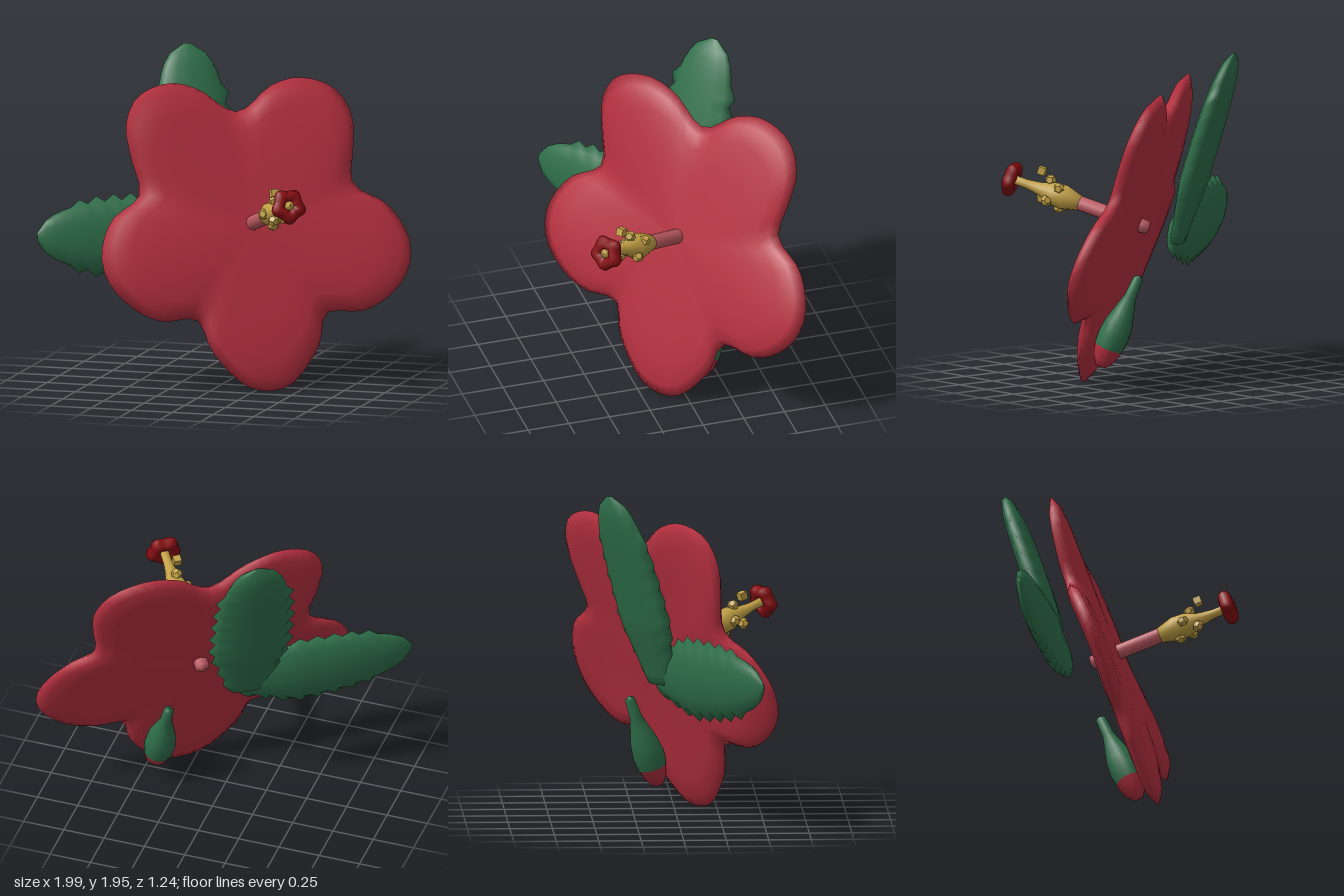
import * as THREE from 'three';
import { mergeVertices } from 'three/addons/utils/BufferGeometryUtils.js';

const V = (x, y, z) => new THREE.Vector3(x, y, z);
const mat = (color) => new THREE.MeshStandardMaterial({ color });
const RED = mat(0xb5303f), GREEN = mat(0x2f6f4a), YELLOW = mat(0xc2a044);
const DARK_RED = mat(0x850c10), PINK = mat(0xbd5a62);

function part(name, geometry, material) {
  const m = new THREE.Mesh(geometry, material);
  m.name = name;
  return m;
}

// Move every vertex by a rule, then weld seams for smooth normals
function deform(geometry, rule) {
  geometry.deleteAttribute('uv');
  geometry.deleteAttribute('normal');
  const p = geometry.attributes.position, v = V(0, 0, 0);
  for (let i = 0; i < p.count; i++) {
    rule(v.fromBufferAttribute(p, i));
    p.setXYZ(i, v.x, v.y, v.z);
  }
  const g = mergeVertices(geometry, 1e-4);
  g.computeVertexNormals();
  return g;
}

const lathe = (pts, n) => new THREE.LatheGeometry(pts.map(([r, y]) => new THREE.Vector2(r, y)), n);

// Place an object so its y axis runs along "axis" and its x axis along "side"
function orient(obj, origin, axis, side) {
  const y = axis.clone().normalize();
  const z = side.clone().cross(y).normalize();
  const x = y.clone().cross(z);
  obj.quaternion.setFromRotationMatrix(new THREE.Matrix4().makeBasis(x, y, z));
  obj.position.copy(origin);
  return obj;
}

// Five joined petals: a thin disc whose rim follows a mirrored outline
function corolla() {
  const half = [[0.14, -0.935], [0.33, -0.72], [0.4, -0.53], [0.62, -0.53], [0.78, -0.46],
    [0.92, -0.31], [0.955, -0.13], [0.855, 0.087], [0.66, 0.23], [0.69, 0.45], [0.705, 0.64],
    [0.62, 0.8], [0.415, 0.875], [0.23, 0.835]];
  const outline = new THREE.CatmullRomCurve3([[0.01, -0.97], ...half, [0, 0.69],
    ...half.map(([u, v]) => [-u, v]).reverse()].map(([u, v]) => V(u, 0, -v)), true);
  const profile = [[0, -0.07], [0.2, -0.07], [0.4, -0.06], [0.6, -0.055], [0.8, -0.05], [0.93, -0.035],
    [1, 0], [0.93, 0.035], [0.8, 0.05], [0.6, 0.055], [0.4, 0.055], [0.2, 0.055], [0, 0.055]];
  // How far each petal leans forward, from the bottom one round
  const lean = [-0.05, 0, -0.045, 0.025, 0.025];
  return deform(lathe(profile, 90), (v) => {
    const s = Math.hypot(v.x, v.z);
    const f = (Math.atan2(v.x, v.z) / (Math.PI * 2) + 1) % 1;
    const rim = outline.getPointAt(f);
    // Petal middles rise softly, the valleys between them sink
    const ridge = Math.cos(f * Math.PI * 10);
    v.y += s * s * (0.015 * ridge + lean[Math.round(f * 5) % 5] * (0.5 + 0.5 * ridge));
    v.x = (rim.x + 0.03 * rim.z) * s + 0.02;
    v.z = rim.z * s;
  });
}

// Small five-lobed ring at the tip of the column
function stigma() {
  const g = new THREE.TorusGeometry(0.06, 0.04, 8, 30);
  g.rotateX(-Math.PI / 2);
  return deform(g, (v) => {
    const k = 1 + 0.1 * Math.cos(5 * Math.atan2(v.x, v.z));
    v.x *= k;
    v.z *= k;
  });
}

// Thick leaf with a toothed margin and a blunt smooth tip
function leaf(length, halfWidth, taper) {
  const rows = 20;
  const g = new THREE.CylinderGeometry(1, 1, length, 12, rows);
  return deform(g, (v) => {
    const t = v.y / length + 0.5;
    const body = Math.min(1, 0.5 + 1.6 * t) * Math.sqrt(Math.max(0.01, 1 - Math.pow(t, taper)));
    const tooth = t < 0.82 && Math.abs(v.x) > 0.95 && Math.round(t * rows) % 2 ? 1.18 : 1;
    v.x *= halfWidth * body * tooth;
    v.z = v.z * 0.07 * body + 0.05 * (t - 0.5) * (t - 0.5);
    v.y += length / 2;
  });
}

export function createModel() {
  const model = new THREE.Group();
  model.name = 'flower';

  // Blossom: local y points out of its face, local -z points up
  const blossom = new THREE.Group();
  blossom.name = 'blossom';
  orient(blossom, V(0.15, 0.92, -0.04), V(0.547, 0.3, 0.783), V(0.82, 0, -0.573));
  model.add(blossom);
  blossom.add(part('petals', corolla(), RED));

  // Central column running through the petals
  const pistil = new THREE.Group();
  pistil.name = 'pistil';
  pistil.position.set(0.015, 0, -0.02);
  blossom.add(pistil);
  pistil.add(part('column', lathe([[0, -0.125], [0.04, -0.115], [0.045, -0.06], [0.045, 0.34], [0, 0.36]], 10), PINK));
  pistil.add(part('pollenColumn', lathe([[0, 0.31], [0.046, 0.32], [0.075, 0.42], [0.07, 0.49],
    [0.04, 0.57], [0.027, 0.66], [0.027, 0.78], [0, 0.79]], 10), YELLOW));
  const ring = part('stigma', stigma(), DARK_RED);
  ring.position.y = 0.755;
  pistil.add(ring);

  // Anthers: lumps half sunk in the column, and one standing free
  for (let i = 0; i < 6; i++) {
    const a = i * 2.4;
    const anther = part('anther', new THREE.DodecahedronGeometry(0.034), YELLOW);
    anther.position.set(0.068 * Math.sin(a), 0.43 + 0.025 * i, 0.068 * Math.cos(a));
    anther.rotation.set(a, i, 0);
    pistil.add(anther);
  }
  const loose = part('anther', new THREE.BoxGeometry(0.045, 0.045, 0.045), YELLOW);
  loose.position.set(-0.03, 0.6, -0.1);
  pistil.add(loose);

  // Two leaves behind the petals
  const leaves = [
    ['upperLeaf', V(-0.16, 0.8, -0.09), V(-0.335, 1.935, -0.4), V(-0.82, 0, 0.57), 6],
    ['sideLeaf', V(-0.13, 0.84, -0.12), V(-1, 0.89, 0.46), V(-0.08, 1, -0.12), 4],
  ];
  for (const [name, base, tip, side, taper] of leaves) {
    const axis = tip.clone().sub(base);
    model.add(orient(part(name, leaf(axis.length(), 0.222, taper), GREEN), base, axis, side));
  }

  // Hanging bud: green calyx with a red tip
  const bud = new THREE.Group();
  bud.name = 'bud';
  const top = V(0.26, 0.66, -0.27), end = V(0.41, 0.1, -0.085);
  orient(bud, end, top.clone().sub(end), V(1, 0, 0));
  bud.add(part('budTip', lathe([[0, 0], [0.035, 0.01], [0.067, 0.06], [0.086, 0.13]], 14), RED));
  bud.add(part('budCalyx', lathe([[0.086, 0.13], [0.093, 0.2], [0.083, 0.29], [0.058, 0.38],
    [0.036, 0.46], [0.03, 0.58], [0, 0.6]], 14), GREEN));
  model.add(bud);

  return model;
}
